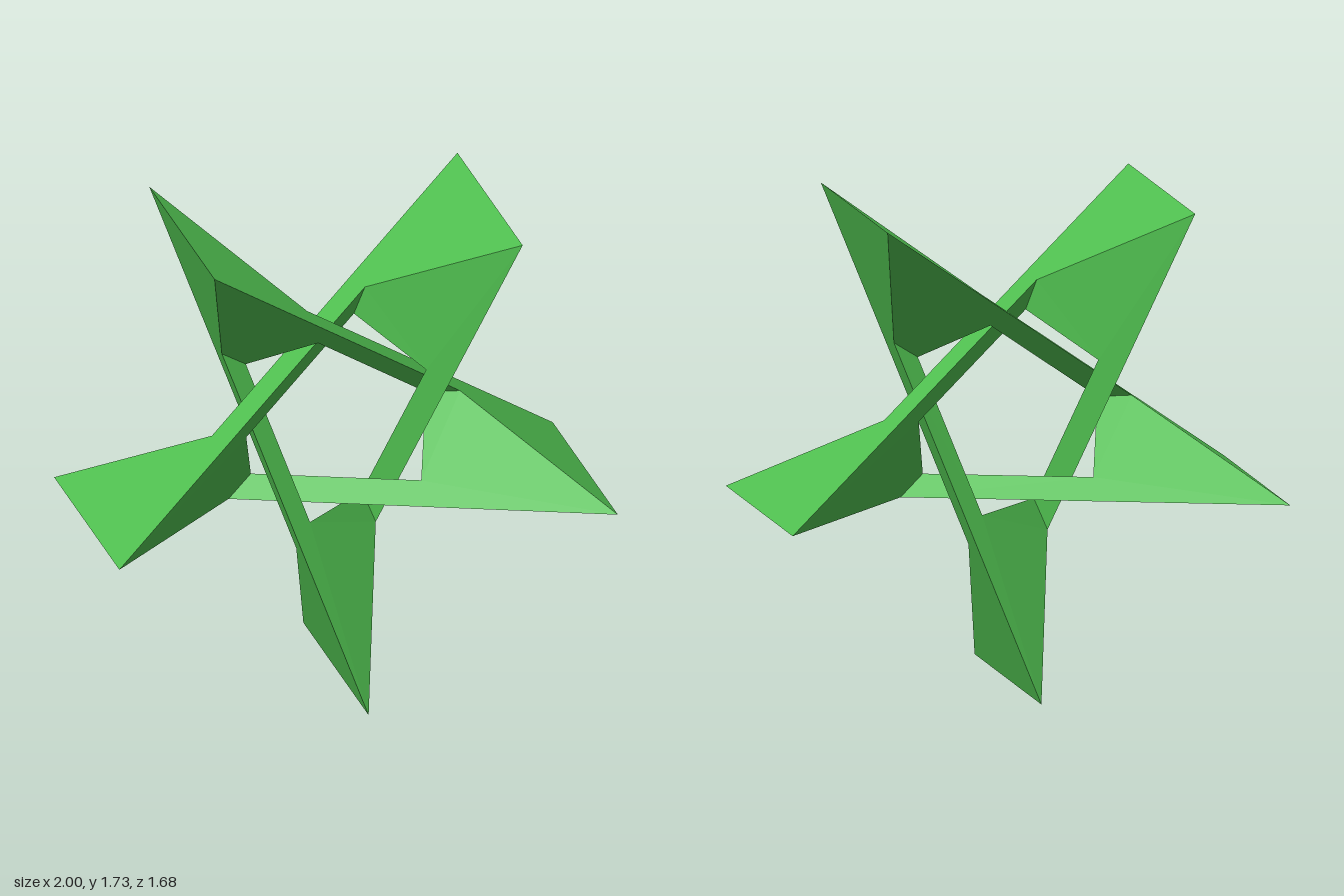
import * as THREE from 'three';

// A closed ring of hexagons with five-fold symmetry about a horizontal axis.
const R = 0.956;             // radius of the star tips, also the height of the centre
const HALF = 0.429;          // half length of each tip edge along the axis
const U = new THREE.Vector3(0.853, 0, 0.522);   // across the ring
const N = new THREE.Vector3(0.525, 0, -0.851);  // ring axis
const STEP = 72, TWIST = 20.5;

// Point on the ring: radius, angle in degrees, offset along the axis
function ringPoint(radius, degrees, offset) {
  const a = THREE.MathUtils.degToRad(degrees);
  return new THREE.Vector3()
    .addScaledVector(U, radius * Math.cos(a))
    .addScaledVector(N, offset)
    .add(new THREE.Vector3(0, R + radius * Math.sin(a), 0));
}

const tipAngle = (k) => -18 + STEP * k;
// side is +1 or -1 along the axis
const tip = (k, side) => ringPoint(R, tipAngle(k), side * HALF);
const outer = (k, side) => ringPoint(0.474, tipAngle(k) + side * TWIST, side * 0.076);
const inner = (k, side) => ringPoint(0.358, tipAngle(k) + side * TWIST, side * 0.11);

// Hexagonal face split into flat triangles
function hexMesh(name, corners, triangles, material) {
  const geometry = new THREE.BufferGeometry().setFromPoints(
    triangles.flat().map((i) => corners[i]));
  geometry.computeVertexNormals();
  const mesh = new THREE.Mesh(geometry, material);
  mesh.name = name;
  return mesh;
}

const BAND = [[0, 1, 5], [1, 2, 5], [2, 3, 4], [2, 4, 5]];
const CAP = [[3, 1, 0], [3, 2, 1], [3, 5, 4], [3, 0, 5]];

export function createModel() {
  const group = new THREE.Group();
  group.name = 'twistedStarRing';
  const green = new THREE.MeshStandardMaterial({
    color: 0x50c050, flatShading: true, side: THREE.DoubleSide });

  for (let k = 0; k < 5; k++) {
    // Bow-tie face joining two tip edges
    const j = k + 3;
    group.add(hexMesh('bowTieFace', [
      tip(k, 1), tip(k, -1), outer(j, -1 * -1),
      tip(j, -1), tip(j, 1), outer(k, -1),
    ], BAND, green));

    // Notched side faces at both ends of the tip edge
    for (const s of [-1, 1]) {
      const far = k - 3 * s;
      group.add(hexMesh(s > 0 ? 'backSideFace' : 'frontSideFace', [
        tip(k, s), outer(far, -s), inner(far, -s),
        inner(k, s), inner(k, -s), outer(k, -s),
      ], CAP, green));
    }
  }
  return group;
}
